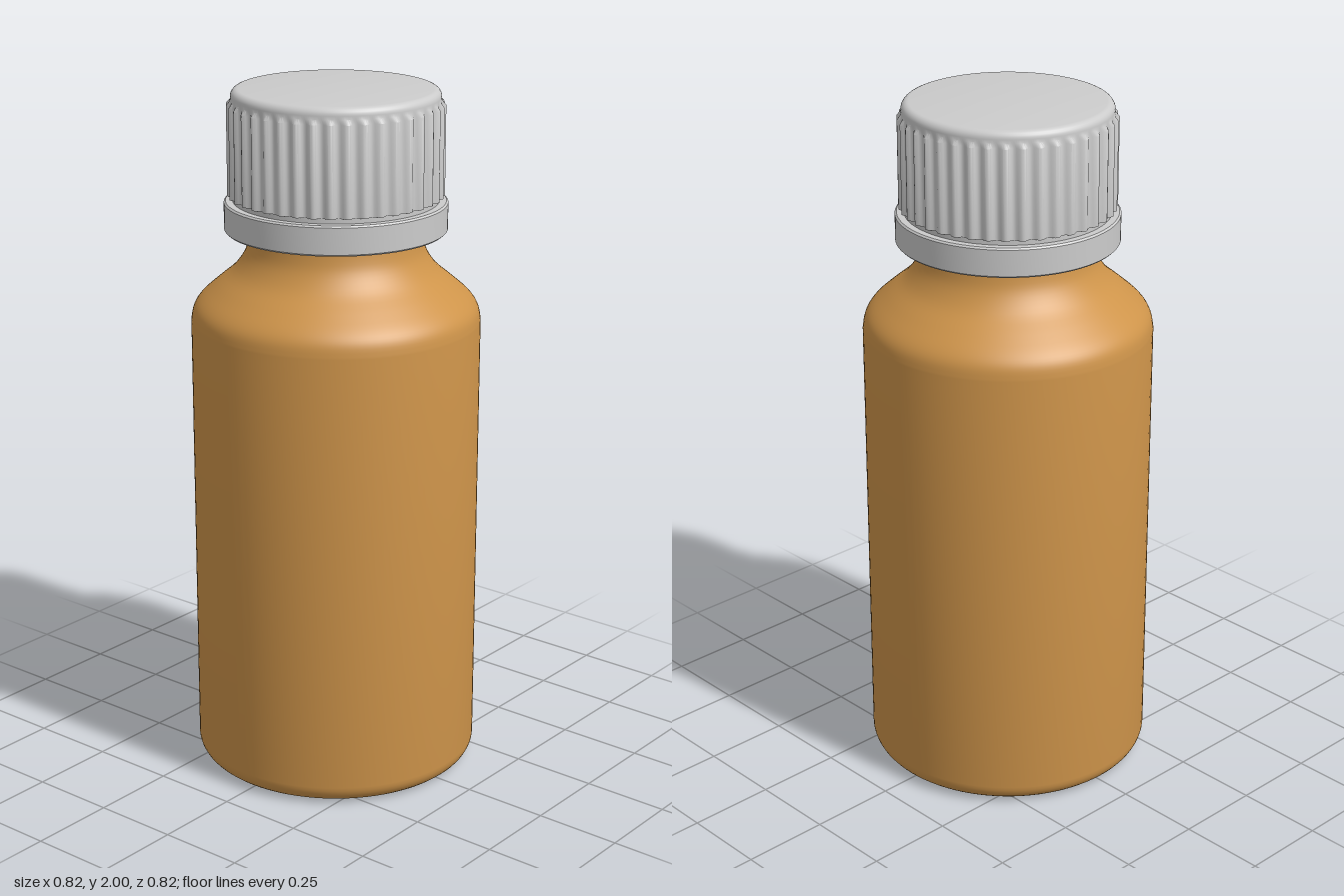
import * as THREE from 'three';
import { toCreasedNormals } from 'three/addons/utils/BufferGeometryUtils.js';

const RIBS = 40;

// Smooth normals with sharp edges kept; enlarged meanwhile so that small details stay distinct
function crease(geometry, angle = 0.6) {
  geometry.scale(100, 100, 100);
  const result = toCreasedNormals(geometry, angle);
  return result.scale(0.01, 0.01, 0.01);
}

function mesh(name, geometry, color) {
  const m = new THREE.Mesh(geometry, new THREE.MeshStandardMaterial({ color, side: THREE.DoubleSide }));
  m.name = name;
  return m;
}

const points = (pairs) => pairs.map(([r, y]) => new THREE.Vector2(r, y));

// Quarter round about (r, y) from angle a to b
function arc(r, y, radius, a, b, steps = 6) {
  return Array.from({ length: steps + 1 }, (_, i) => {
    const t = a + ((b - a) * i) / steps;
    return [r + radius * Math.cos(t), y + radius * Math.sin(t)];
  });
}

// Bottle: rounded base, straight wall, S-shaped shoulder, neck
function bottleGeometry() {
  const shoulder = new THREE.SplineCurve(points([
    [0.412, 1.34], [0.405, 1.375], [0.385, 1.405], [0.34, 1.445],
    [0.29, 1.488], [0.258, 1.535], [0.246, 1.58], [0.243, 1.62],
  ])).getPoints(28);
  const profile = [
    ...points([[0, 0], ...arc(0.357, 0.055, 0.055, -Math.PI / 2, 0, 8)]),
    ...shoulder,
    ...points([[0.243, 1.9], [0, 1.9]]),
  ];
  return crease(new THREE.LatheGeometry(profile, 96));
}

// Cap: hollow, rounded top edge, wall pushed out into vertical ribs
function capGeometry() {
  const profile = points([
    [0, 1.93], [0.27, 1.93], [0.27, 1.7], [0.293, 1.7],
    [0.293, 1.705], [0.293, 1.955], [0.293, 1.968],
    ...arc(0.271, 1.978, 0.022, 0, Math.PI / 2), [0, 2],
  ]);
  const geometry = new THREE.LatheGeometry(profile, RIBS * 8);
  const p = geometry.attributes.position;
  for (let i = 0; i < p.count; i++) {
    const x = p.getX(i), y = p.getY(i), z = p.getZ(i), r = Math.hypot(x, z);
    if (r < 0.28 || y > 1.96) continue;
    const wave = 0.5 + 0.5 * Math.cos(RIBS * Math.atan2(x, z));
    const k = 1 + (0.012 * wave) / r;
    p.setXYZ(i, x * k, y, z * k);
  }
  return crease(geometry, 0.75);
}

// Tamper band: plain ring with small bevels
function bandGeometry() {
  return crease(new THREE.LatheGeometry(points([
    [0.282, 1.685], [0.282, 1.605], [0.287, 1.6], [0.31, 1.6], [0.315, 1.605],
    [0.315, 1.68], [0.31, 1.685], [0.282, 1.685],
  ]), 96));
}

// Recessed link between band and cap
function linkGeometry() {
  return crease(new THREE.LatheGeometry(points([
    [0.268, 1.72], [0.268, 1.655], [0.29, 1.655], [0.29, 1.72], [0.268, 1.72],
  ]), 96));
}

export function createModel() {
  const model = new THREE.Group();
  model.name = 'bottle';
  const closure = new THREE.Group();
  closure.name = 'closure';
  closure.add(
    mesh('ribbedCap', capGeometry(), 0xcccccc),
    mesh('tamperBand', bandGeometry(), 0xcccccc),
    mesh('bandLink', linkGeometry(), 0xcccccc),
  );
  model.add(mesh('bottleBody', bottleGeometry(), 0xce944a), closure);
  return model;
}
